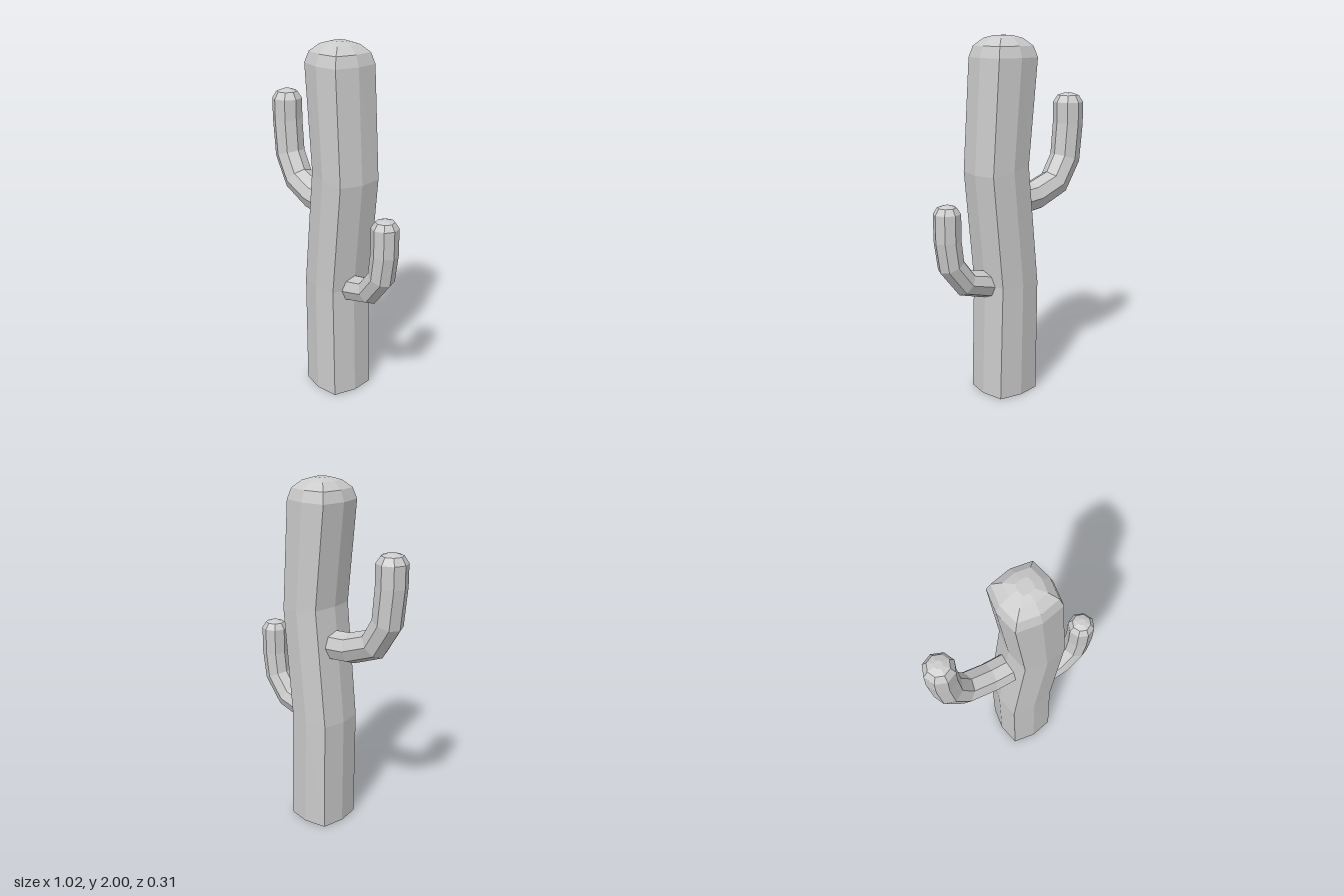
import * as THREE from 'three';

const material = new THREE.MeshStandardMaterial({ color: 0xcccccc, flatShading: true });

// Eight-sided sections as [in-plane, z] pairs: a bulged square and a regular octagon
const section = (corner) => [[1, 0], [corner, corner], [0, 1], [-corner, corner],
  [-1, 0], [-corner, -corner], [0, -1], [corner, -corner]];
const TRUNK = section(0.845);
const ARM = section(Math.SQRT1_2);

// Closed loft through rings of [x, y, radius, tilt in the xy plane, optional z radius]
function loft(name, shape, rings) {
  const n = shape.length;
  const positions = [];
  const index = [];
  for (const [x, y, r, tilt, rz = r] of rings) {
    for (const [u, w] of shape) {
      positions.push(x + Math.cos(tilt) * u * r, y + Math.sin(tilt) * u * r, w * rz);
    }
  }
  for (let i = 0; i < rings.length - 1; i++) {
    for (let j = 0; j < n; j++) {
      const a = i * n + j, b = i * n + (j + 1) % n;
      index.push(a, a + n, b + n, a, b + n, b);
    }
  }
  // End caps
  const last = rings.length - 1;
  const base = positions.length / 3;
  positions.push(rings[0][0], rings[0][1], 0, rings[last][0], rings[last][1], 0);
  for (let j = 0; j < n; j++) {
    const k = (j + 1) % n;
    index.push(base, j, k, base + 1, last * n + k, last * n + j);
  }
  const indexed = new THREE.BufferGeometry();
  indexed.setAttribute('position', new THREE.Float32BufferAttribute(positions, 3));
  indexed.setIndex(index);
  const geometry = indexed.toNonIndexed();
  geometry.computeVertexNormals();
  const mesh = new THREE.Mesh(geometry, material);
  mesh.name = name;
  return mesh;
}

// Arm of constant radius along a bent path, ending in a small upright dome
function arm(name, radius, path) {
  const rings = path.map(([x, y], i) => {
    const dir = (a, b) => new THREE.Vector2(b[0] - a[0], b[1] - a[1]).normalize();
    const t = new THREE.Vector2();
    if (i > 0) t.add(dir(path[i - 1], path[i]));
    if (i < path.length - 1) t.add(dir(path[i], path[i + 1]));
    else t.set(0, 1);
    return [x, y, radius, Math.atan2(-t.x, t.y)];
  });
  const [x, y] = path[path.length - 1];
  rings.push([x, y + radius * 0.45, radius * 0.7, 0], [x, y + radius * 0.6, radius * 0.27, 0]);
  return loft(name, ARM, rings);
}

export function createModel() {
  const group = new THREE.Group();
  group.name = 'cactus';

  // Gently bent trunk with a rounded top
  group.add(loft('trunk', TRUNK, [
    [0.053, 0, 0.154, 0],
    [0.04, 0.645, 0.148, 0.03, 0.155],
    [0.105, 1.29, 0.146, -0.15, 0.155],
    [0.054, 1.885, 0.155, 0],
    [0.054, 1.945, 0.135, 0],
    [0.054, 1.985, 0.088, 0],
    [0.054, 2.0, 0.04, 0],
  ]));

  // Larger, higher arm
  group.add(arm('rightArm', 0.086, [
    [0.04, 1.09], [-0.06, 1.093], [-0.164, 1.103], [-0.323, 1.164],
    [-0.407, 1.3], [-0.427, 1.5], [-0.427, 1.62],
  ]));

  // Smaller, lower arm
  group.add(arm('leftArm', 0.075, [
    [0.08, 0.625], [0.19, 0.65], [0.323, 0.685],
    [0.416, 0.8], [0.436, 0.94], [0.436, 1.088],
  ]));

  return group;
}
